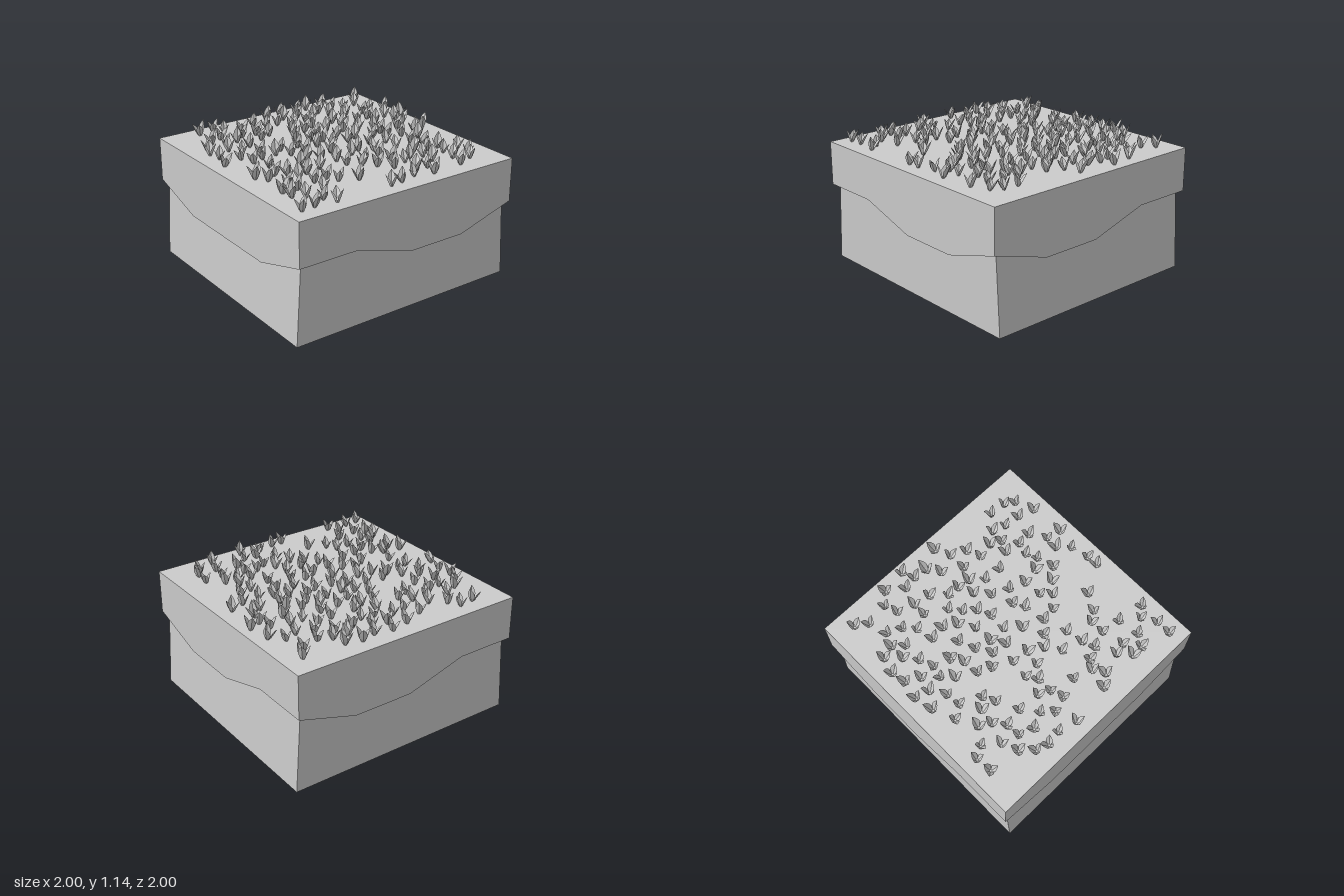
import * as THREE from 'three';
import { mergeGeometries } from 'three/addons/utils/BufferGeometryUtils.js';

const grey = new THREE.MeshStandardMaterial({ color: 0xcccccc, flatShading: true });
const leafGrey = new THREE.MeshStandardMaterial({ color: 0xcccccc, flatShading: true, side: THREE.DoubleSide });

const HIGH = 0.645, LOW = 0.495, TOP = 1.005;

function add(parent, name, geometry, material = grey) {
  const mesh = new THREE.Mesh(geometry, material);
  mesh.name = name;
  parent.add(mesh);
  return mesh;
}

// Seeded random numbers
function seeded(seed) {
  return () => {
    seed = (seed * 1664525 + 1013904223) % 4294967296;
    return seed / 4294967296;
  };
}

// Soil block, its x walls leaning inward towards the top
function soilGeometry() {
  const h = 0.7;
  const geo = new THREE.BoxGeometry(2, h, 1.91).translate(0, h / 2, 0);
  const p = geo.attributes.position;
  for (let i = 0; i < p.count; i++) if (p.getY(i) > 0.1) p.setX(i, Math.sign(p.getX(i)) * 0.957);
  geo.computeVertexNormals();
  return geo;
}

// Hanging turf below the slab; u = start, low start, low end, end along the side
function apronGeometry([a, b, c, d]) {
  const shape = new THREE.Shape();
  shape.moveTo(a, HIGH);
  shape.lineTo(b, LOW);
  shape.lineTo(c, LOW);
  shape.lineTo(d, HIGH);
  return new THREE.ExtrudeGeometry(shape, { depth: 0.05, bevelEnabled: false }).translate(0, 0, 0.95);
}

// One cupped, pointed leaf that leans outward along +z
function leafGeometry(height, width, lean) {
  const geo = new THREE.PlaneGeometry(2, 1, 2, 4).translate(0, 0.5, 0);
  const p = geo.attributes.position;
  const halfWidths = [0.3, 0.8, 1, 0.72, 0.04];
  for (let i = 0; i < p.count; i++) {
    const side = p.getX(i), t = p.getY(i);
    const w = halfWidths[Math.round(t * 4)] * width;
    const out = 0.008 + lean * Math.pow(t, 0.8) - Math.abs(side) * w * 0.45;
    p.setXYZ(i, side * w, t * height, out);
  }
  geo.computeVertexNormals();
  return geo;
}

// Three leaves make a tuft
function tuftGeometry() {
  const leaves = [
    [0, 0.105, 0.026, 0.045],
    [2.2, 0.115, 0.03, 0.05],
    [-2.2, 0.095, 0.027, 0.045],
  ];
  return mergeGeometries(leaves.map(([turn, h, w, lean]) => leafGeometry(h, w, lean).rotateY(turn)));
}

// Spaced scatter that leaves a few bare patches (x, z, radius)
function scatter(count, random) {
  const bare = [
    [-0.38, 0.82, 0.2], [-0.08, 0.72, 0.15], [-0.3, -0.33, 0.13], [-0.92, 0.05, 0.16],
    [0.95, 0.3, 0.16], [0.95, -0.7, 0.16], [0.45, 0.85, 0.12], [-0.25, 0.47, 0.11],
    [-0.95, -0.95, 0.2], [0.95, 0.95, 0.15], [0.3, 0.4, 0.1], [-0.95, 0.45, 0.14],
  ];
  const spots = [];
  for (let tries = 0; tries < 20000 && spots.length < count; tries++) {
    const x = -0.9 + 1.83 * random(), z = -0.88 + 1.77 * random();
    if (bare.some(([bx, bz, r]) => Math.hypot(x - bx, z - bz) < r)) continue;
    if (spots.some(([sx, sz]) => Math.hypot(x - sx, z - sz) < 0.098)) continue;
    spots.push([x, z]);
  }
  return spots;
}

export function createModel() {
  const model = new THREE.Group();
  model.name = 'grassTile';

  add(model, 'soilBlock', soilGeometry());

  // Turf slab with an uneven hanging edge on each side
  const turf = new THREE.Group();
  turf.name = 'turf';
  model.add(turf);
  add(turf, 'turfSlab', new THREE.BoxGeometry(2, TOP - HIGH, 2).translate(0, (TOP + HIGH) / 2, 0));
  const aprons = {
    front: [-0.5, 0, 0.5, 1],
    right: [-1, -0.5, 0, 0.5],
    back: [-1, -0.5, 0, 0.5],
    left: [-1, -0.5, 0.5, 1],
  };
  Object.entries(aprons).forEach(([side, u], i) => {
    add(turf, side + 'TurfEdge', apronGeometry(u)).rotation.y = i * Math.PI / 2;
  });

  // Grass tufts, nearly all facing the same way
  const grass = new THREE.Group();
  grass.name = 'grassTufts';
  model.add(grass);
  const random = seeded(7);
  const geometry = tuftGeometry();
  for (const [x, z] of scatter(148, random)) {
    const tuft = add(grass, 'grassTuft', geometry, leafGrey);
    tuft.position.set(x, TOP - 0.003, z);
    tuft.rotation.set((random() - 0.5) * 0.3, (random() - 0.5) * 1.2, (random() - 0.5) * 0.3);
    tuft.scale.setScalar(0.88 + 0.26 * random());
  }
  return model;
}
